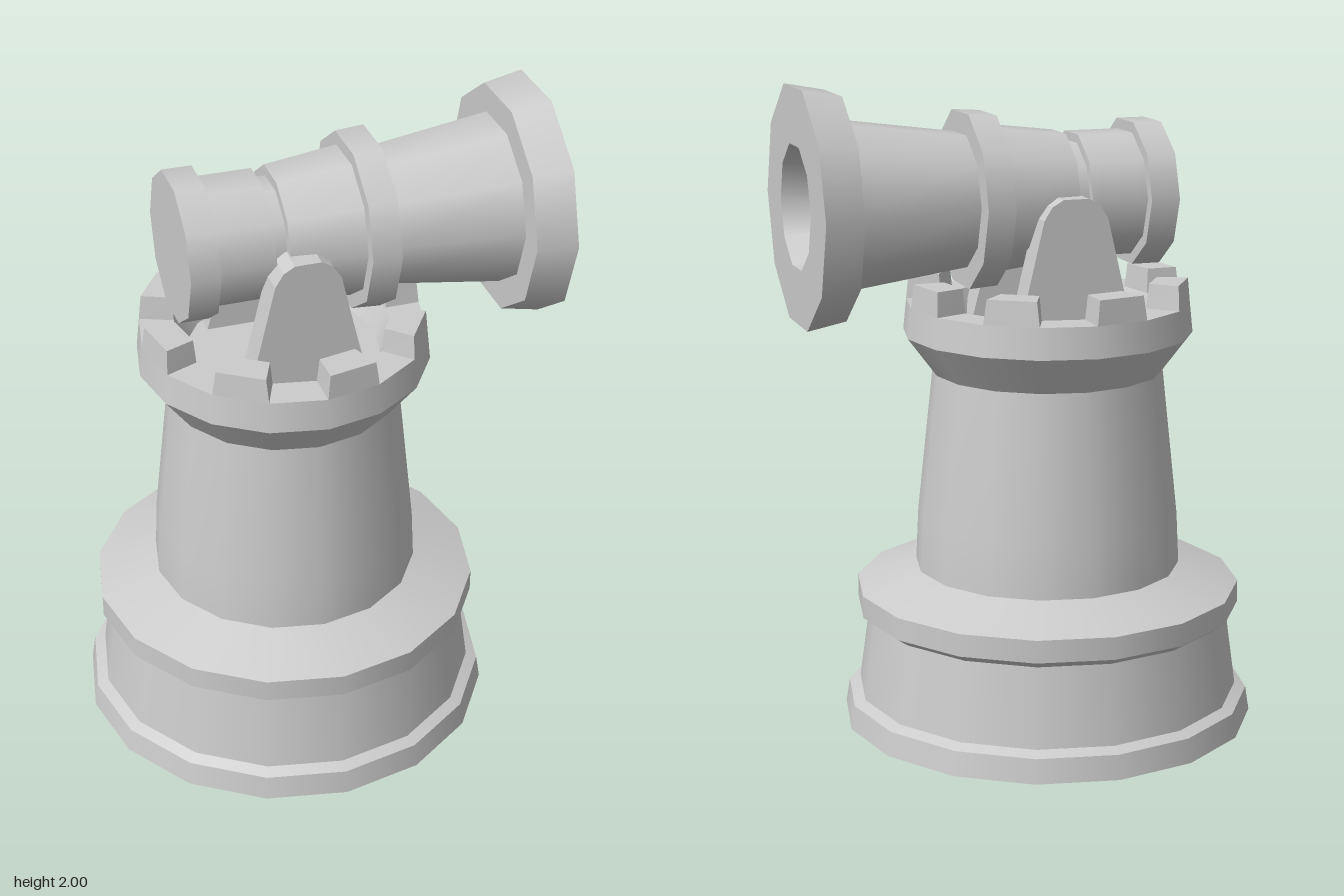
import * as THREE from 'three';
import { mergeGeometries } from 'three/addons/utils/BufferGeometryUtils.js';

const grey = new THREE.MeshStandardMaterial({ color: 0xcccccc, side: THREE.DoubleSide });
const CX = -0.07; // tower axis

// Revolve runs of [radius, height]; smooth within a run, creased between runs
function revolve(runs, sides) {
  return mergeGeometries(runs.map(run =>
    new THREE.LatheGeometry(run.map(([r, y]) => new THREE.Vector2(r, y)), sides)));
}

// Split a profile into one run per span, so that every ring edge is sharp
const spans = pts => pts.slice(1).map((p, i) => [pts[i], p]);

function add(parent, name, geometry) {
  const mesh = new THREE.Mesh(geometry, grey);
  mesh.name = name;
  parent.add(mesh);
  return mesh;
}

// Wedge-shaped tooth: a box bent onto the rim, slightly narrower at the top
function merlonGeometry() {
  const g = new THREE.BoxGeometry(1, 1, 1);
  const p = g.attributes.position;
  for (let i = 0; i < p.count; i++) {
    const top = p.getY(i) > 0;
    const a = p.getX(i) * (Math.PI / 8) * (top ? 0.9 : 1);
    const r = p.getZ(i) > 0 ? (top ? 0.43 : 0.437) : (top ? 0.335 : 0.33);
    p.setXYZ(i, Math.sin(a) * r, top ? 1.4 : 1.325, Math.cos(a) * r);
  }
  g.computeVertexNormals();
  return g;
}

export function createModel() {
  const model = new THREE.Group();
  model.name = 'towerCannon';

  const tower = new THREE.Group();
  tower.name = 'tower';
  tower.position.x = CX;
  model.add(tower);

  // Hollow base, open underneath
  add(tower, 'base', revolve(spans([
    [0.647, 0], [0.635, 0.075], [0.6, 0.09], [0.566, 0.335],
    [0.602, 0.36], [0.602, 0.43], [0.415, 0.49],
  ]), 16));

  // Tapered shaft
  add(tower, 'shaft', revolve([[[0.415, 0.49], [0.407, 0.65], [0.357, 1.11]]], 16));

  // Flared crown with a sunken floor
  add(tower, 'crown', revolve(spans([
    [0.357, 1.11], [0.447, 1.23], [0.437, 1.325], [0.33, 1.325], [0.295, 1.25], [0, 1.25],
  ]), 16));

  // Battlements on every other facet
  const tooth = merlonGeometry();
  for (let i = 0; i < 8; i++) {
    add(tower, 'merlon', tooth).rotation.y = (i * 2 + 0.5) * Math.PI / 8;
  }

  // Pair of cheek brackets carrying the barrel
  const cheek = new THREE.Shape([
    [-0.19, 1.25], [0.19, 1.25], [0.155, 1.38], [0.1, 1.61],
    [0.075, 1.65], [0.04, 1.67], [-0.04, 1.67], [-0.075, 1.65], [-0.1, 1.61], [-0.155, 1.38],
  ].map(([x, y]) => new THREE.Vector2(x, y)));
  const cheekGeometry = new THREE.ExtrudeGeometry(cheek, { depth: 0.09, bevelEnabled: false });
  for (const z of [0.163, -0.253]) {
    add(tower, 'bracket', cheekGeometry).position.z = z;
  }

  // Ten-sided barrel, from rear cap to muzzle and back down the bore
  const barrel = revolve(spans([
    [0, -0.41], [0.228, -0.41], [0.228, -0.32], [0.195, -0.32], [0.195, -0.145],
    [0.168, -0.145], [0.168, -0.105], [0.2, -0.105], [0.227, 0.12], [0.268, 0.12],
    [0.274, 0.208], [0.207, 0.208], [0.26, 0.595], [0.346, 0.595], [0.369, 0.715],
    [0.19, 0.715], [0.105, 0.25], [0, 0.25],
  ]), 10);
  barrel.rotateZ(-Math.PI / 2);
  add(model, 'barrel', barrel).position.y = 1.65;

  return model;
}
